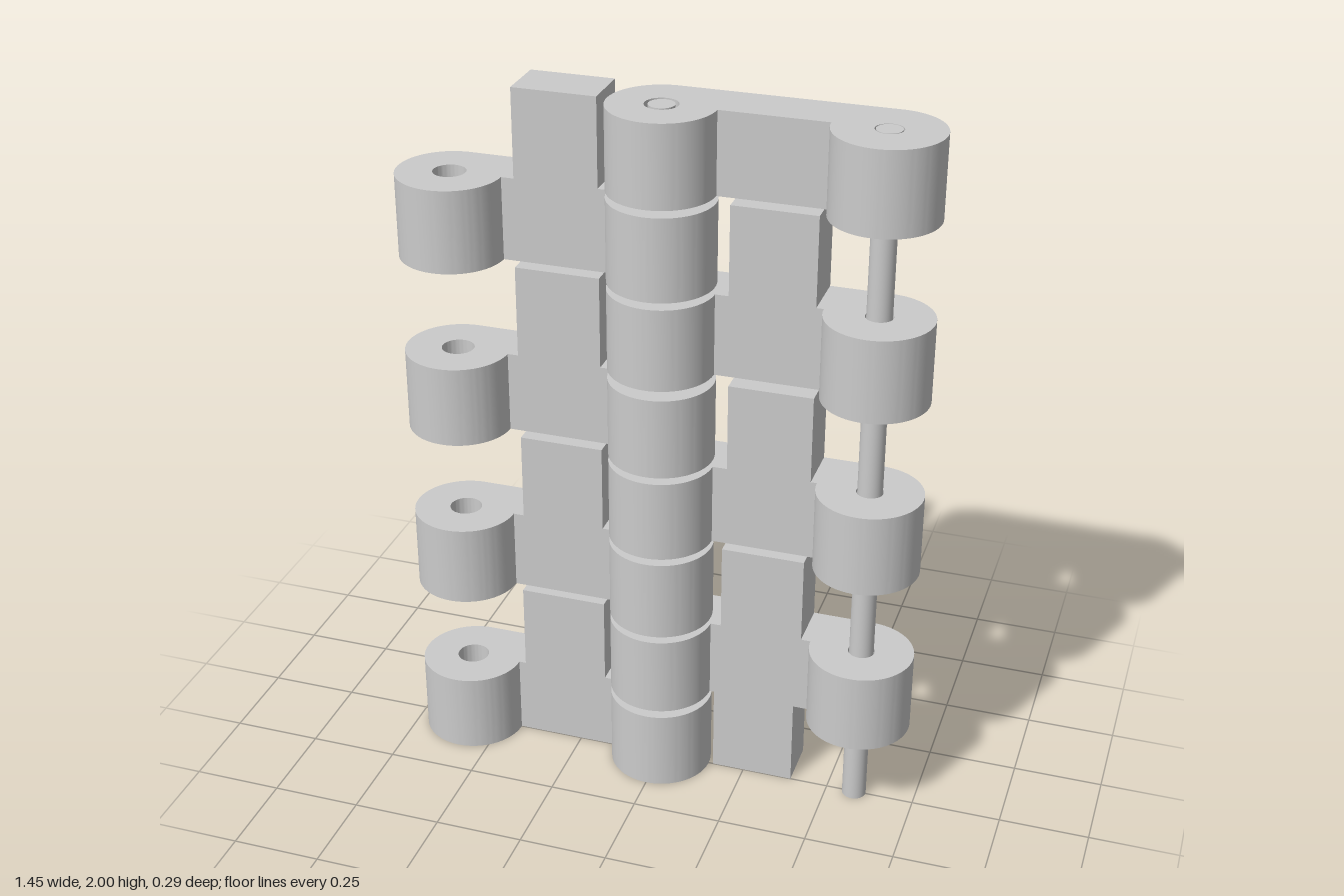
import * as THREE from 'three';
import { toCreasedNormals } from 'three/addons/utils/BufferGeometryUtils.js';

const R = 0.145; // knuckle radius, also bar thickness
const material = new THREE.MeshStandardMaterial({ color: 0xcccccc });

function add(parent, name, geometry, x = 0, y = 0, z = 0) {
  const mesh = new THREE.Mesh(geometry, material);
  mesh.name = name;
  mesh.position.set(x, y, z);
  parent.add(mesh);
}

// Flat-backed bar with a round, bored knuckle at each end, extruded upwards
function linkGeometry(x0, x1, hole0, hole1, height) {
  const shape = new THREE.Shape();
  shape.moveTo(x0, R);
  shape.absarc(x0, 0, R, Math.PI / 2, Math.PI * 2, false);
  shape.lineTo(x1 - R, 0);
  shape.absarc(x1, 0, R, Math.PI, Math.PI * 2.5, false);
  shape.closePath();
  for (const [x, r] of [[x0, hole0], [x1, hole1]]) {
    const hole = new THREE.Path();
    hole.absarc(x, 0, r, 0, Math.PI * 2, true);
    shape.holes.push(hole);
  }
  const geometry = new THREE.ExtrudeGeometry(shape, { depth: height, bevelEnabled: false, curveSegments: 40 });
  geometry.rotateX(-Math.PI / 2);
  return toCreasedNormals(geometry, 0.6);
}

// Rectangular tab behind the hinge line
function addTab(parent, left, right, bottom, top) {
  add(parent, 'tab', new THREE.BoxGeometry(right - left, top - bottom, R),
    (left + right) / 2, (bottom + top) / 2, -R / 2);
}

export function createModel() {
  const model = new THREE.Group();
  model.name = 'hingedLinks';

  // Links on the -x side: [bottom, top, tab left edge, tab top]
  const rightSide = [
    [0, 0.232, -0.42, 0.485],
    [0.505, 0.737, -0.41, 0.987],
    [1.01, 1.24, -0.41, 1.5],
    [1.52, 1.752, -0.405, 2],
  ];
  for (const [bottom, top, tabLeft, tabTop] of rightSide) {
    const link = new THREE.Group();
    link.name = 'rightLink';
    add(link, 'linkBar', linkGeometry(-0.585, 0, 0.045, 0.045, top - bottom), 0, bottom);
    addTab(link, tabLeft, -0.173, top, tabTop);
    model.add(link);
  }

  // Links on the +x side: [bottom, top, tab left edge, tab top]
  const leftSide = [
    [0.255, 0.485, 0.175, 0.735],
    [0.757, 0.99, 0.185, 1.24],
    [1.268, 1.5, 0.182, 1.752],
    [1.772, 2],
  ];
  leftSide.forEach(([bottom, top, tabLeft, tabTop], i) => {
    const link = new THREE.Group();
    link.name = 'leftLink';
    add(link, 'linkBar', linkGeometry(0, 0.58, 0.045, 0.037, top - bottom), 0, bottom);
    if (tabTop) addTab(link, tabLeft, tabLeft + 0.233, top, tabTop);
    if (i === 0) addTab(link, 0.158, 0.392, 0, bottom); // end tab
    model.add(link);
  });

  // Full-height hinge pins
  add(model, 'centrePin', new THREE.CylinderGeometry(0.035, 0.035, 2, 40), 0, 1);
  add(model, 'outerPin', new THREE.CylinderGeometry(0.034, 0.034, 2, 40), 0.58, 1);

  return model;
}
